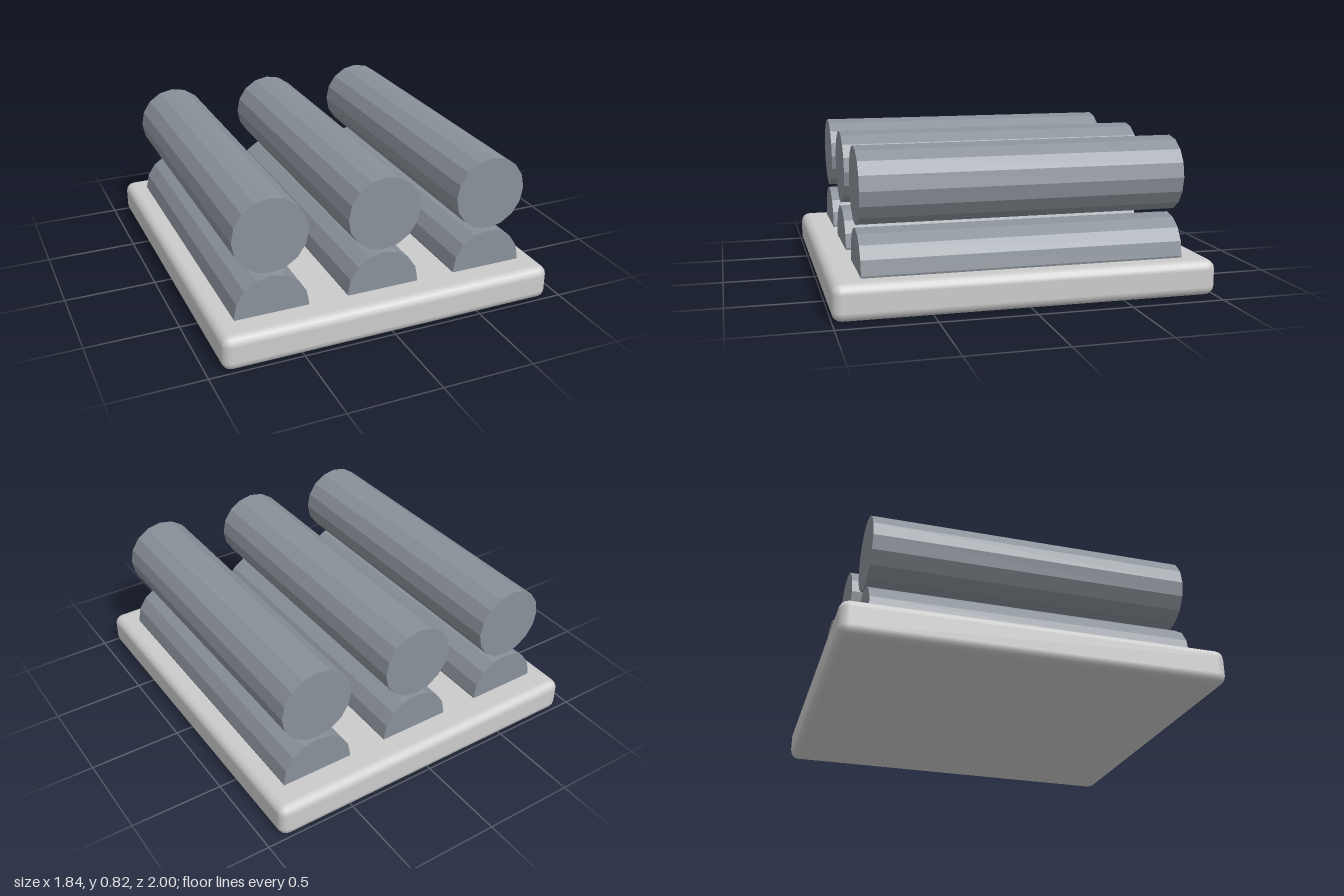
import * as THREE from 'three';
import { RoundedBoxGeometry } from 'three/addons/geometries/RoundedBoxGeometry.js';

export function createModel() {
  const model = new THREE.Group();
  model.name = 'rollerRack';

  // Slab with softened edges
  const slabHeight = 0.19;
  const slab = new THREE.Mesh(
    new RoundedBoxGeometry(1.84, slabHeight, 2, 2, 0.05),
    new THREE.MeshStandardMaterial({ color: 0xcccccc })
  );
  slab.name = 'baseSlab';
  slab.position.y = slabHeight / 2;
  model.add(slab);

  // Sixteen-sided bars lying along z, with a vertex at the top
  const barGeometry = new THREE.CylinderGeometry(0.2, 0.2, 1.69, 16);
  barGeometry.rotateX(Math.PI / 2);
  const barMaterial = new THREE.MeshStandardMaterial({ color: 0x8a9199, flatShading: true });

  // Lower row is half sunk in the slab, upper row floats just above it
  const rows = [['lowerBar', 0.2], ['upperBar', 0.617]];
  const columns = [['Right', -0.613], ['Middle', 0], ['Left', 0.613]];
  for (const [rowName, y] of rows) {
    for (const [side, x] of columns) {
      const bar = new THREE.Mesh(barGeometry, barMaterial);
      bar.name = rowName + side;
      bar.position.set(x, y, 0);
      model.add(bar);
    }
  }

  return model;
}
